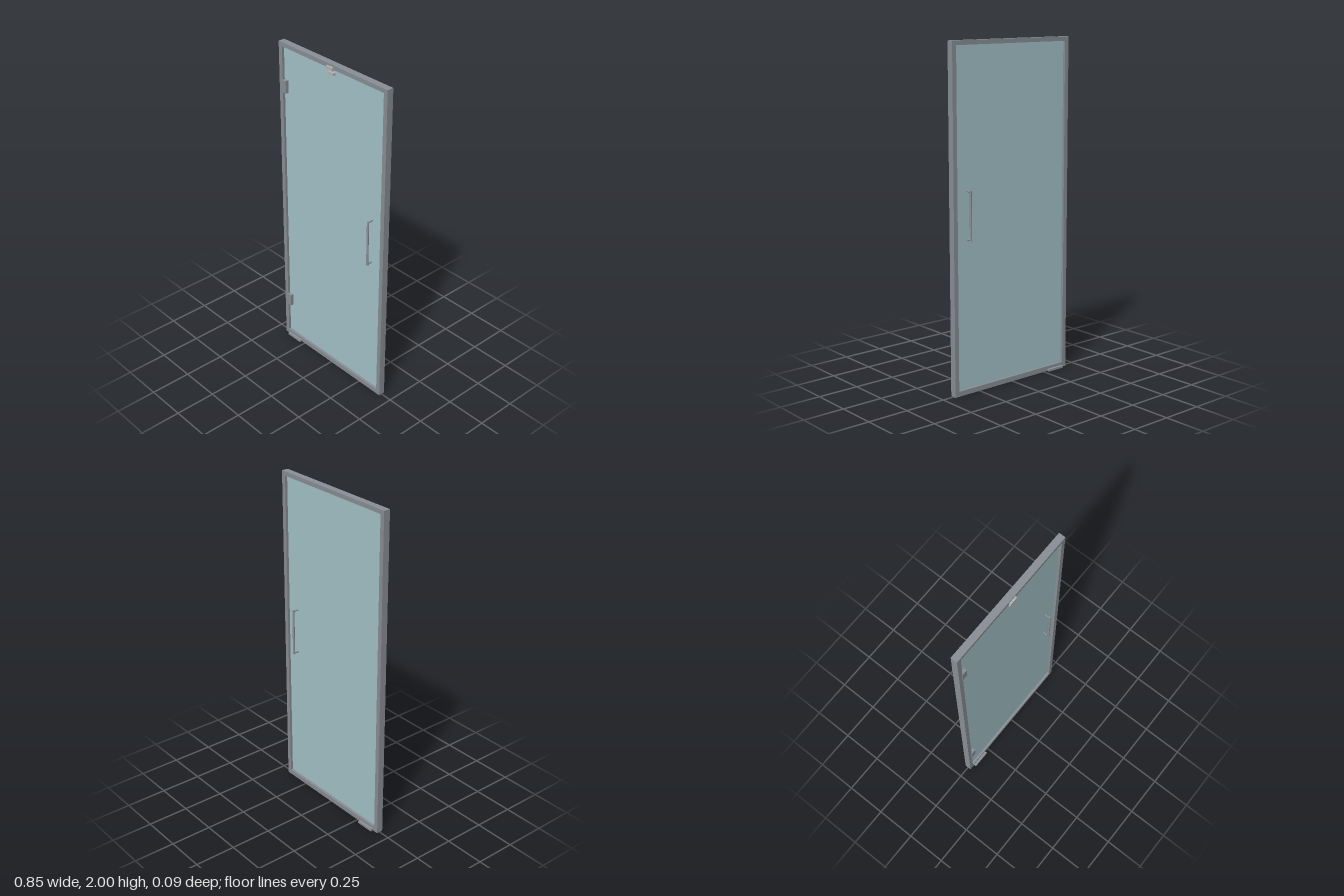
import * as THREE from 'three';

const mat = (color) => new THREE.MeshStandardMaterial({ color });

export function createModel() {
  const door = new THREE.Group();
  door.name = 'glassDoor';
  const metal = mat(0x8a9096), light = mat(0xb4b4b4), glass = mat(0xa5c4ca);

  const add = (name, geometry, material, parent = door) => {
    const mesh = new THREE.Mesh(geometry, material);
    mesh.name = name;
    parent.add(mesh);
    return mesh;
  };
  // Box given by its limits along each axis
  const box = (name, material, [x0, x1], [y0, y1], [z0, z1]) => {
    const mesh = add(name, new THREE.BoxGeometry(x1 - x0, y1 - y0, z1 - z0), material);
    mesh.position.set((x0 + x1) / 2, (y0 + y1) / 2, (z0 + z1) / 2);
    return mesh;
  };

  // Surrounding frame with a rectangular opening
  const rect = (Type, x, y0, y1) => new Type([
    new THREE.Vector2(-x, y0), new THREE.Vector2(x, y0),
    new THREE.Vector2(x, y1), new THREE.Vector2(-x, y1),
  ]);
  const outline = rect(THREE.Shape, 0.427, 0, 2);
  outline.holes.push(rect(THREE.Path, 0.4, 0.03, 1.975));
  const frame = new THREE.ExtrudeGeometry(outline, { depth: 0.04, bevelEnabled: false });
  add('frame', frame.translate(0, 0, -0.02), metal);

  // Glass pane
  box('glassPane', glass, [-0.4, 0.4], [0.03, 1.975], [-0.005, 0.005]);

  // Hinges on the front
  for (const y of [0.27, 1.737]) {
    box('hinge', metal, [-0.405, -0.37], [y - 0.038, y + 0.038], [0.004, 0.024]);
  }

  // Magnetic lock on the top rail and its plate on the glass
  box('lockMagnet', light, [-0.025, 0.023], [1.969, 1.989], [0.004, 0.032]);
  box('lockPlate', light, [-0.022, 0.022], [1.94, 1.955], [0.004, 0.024]);

  // Floor closer under the hinge side
  box('floorCloser', metal, [-0.39, -0.277], [0, 0.013], [-0.038, 0.036]);

  // Pull handles on both faces
  for (const side of [1, -1]) {
    const handle = new THREE.Group();
    handle.name = side > 0 ? 'frontHandle' : 'backHandle';
    handle.position.set(0.322, 1.037, 0);
    const grip = add('grip', new THREE.CylinderGeometry(0.0065, 0.0065, 0.284, 20), metal, handle);
    grip.position.z = side * 0.038;
    for (const y of [-0.137, 0.137]) {
      const post = add('post', new THREE.CylinderGeometry(0.005, 0.005, 0.034, 16), metal, handle);
      post.rotation.x = Math.PI / 2;
      post.position.set(0, y, side * 0.021);
    }
    door.add(handle);
  }
  return door;
}
